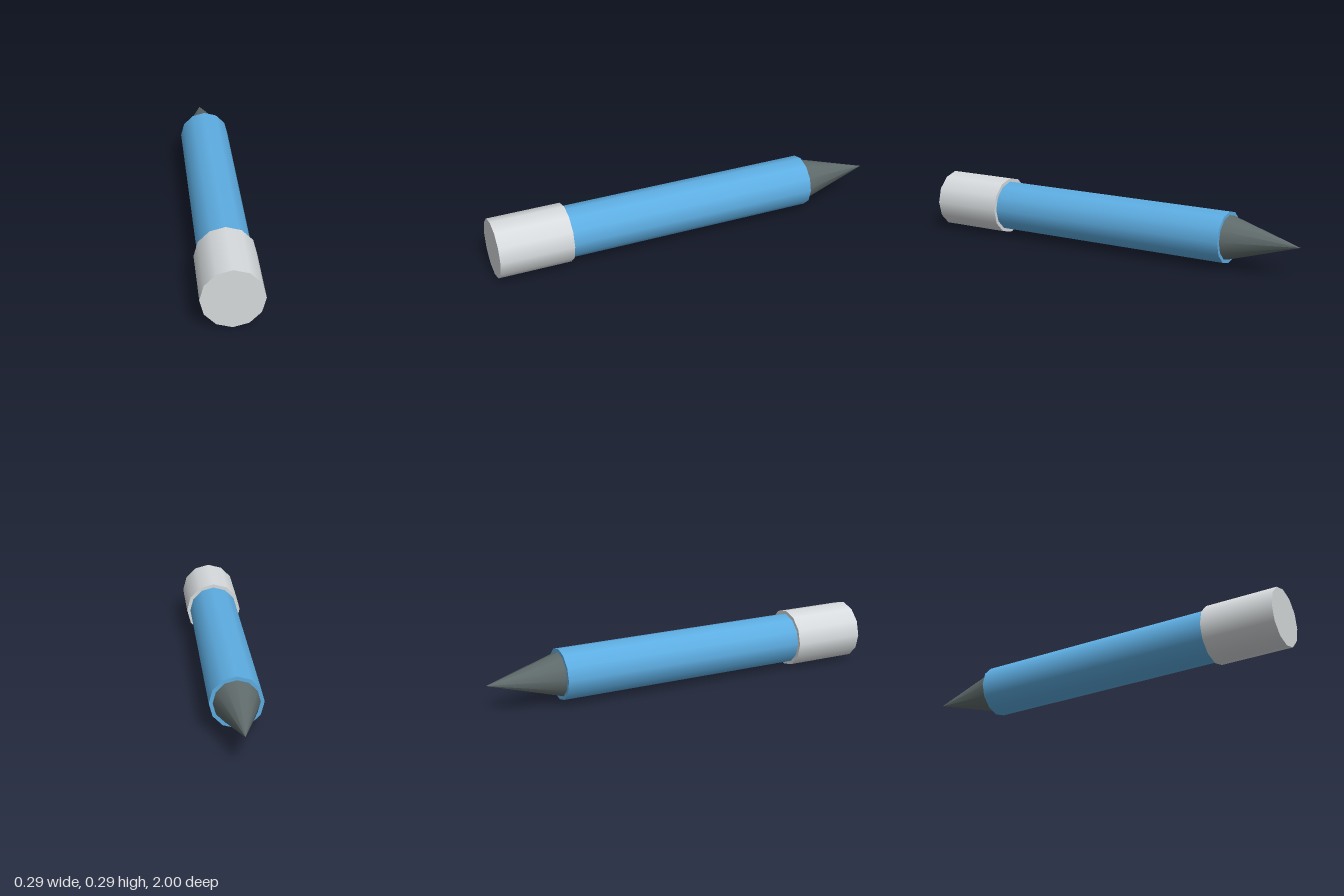
import * as THREE from 'three';

const SIDES = 12;
const AXIS_HEIGHT = 0.145;

function material(name, color) {
  const m = new THREE.MeshStandardMaterial({ color });
  m.name = name;
  return m;
}

// Lays a twelve-sided part along z, its top end pointing to -z
function addPart(group, name, geometry, mat, z) {
  geometry.rotateX(-Math.PI / 2);
  const mesh = new THREE.Mesh(geometry, mat);
  mesh.name = name;
  mesh.position.set(0, AXIS_HEIGHT, z);
  group.add(mesh);
}

export function createModel() {
  const group = new THREE.Group();
  group.name = 'pencil';

  const blue = material('blue', 0x5dade2);
  const lightGrey = material('light grey', 0xd7dbdd);
  const darkGrey = material('dark grey', 0x5f6a6a);

  // Blunt end cap, slightly wider than the barrel
  addPart(group, 'endCap', new THREE.CylinderGeometry(0.145, 0.145, 0.364, SIDES), lightGrey, 0.818);
  // Long barrel
  addPart(group, 'barrel', new THREE.CylinderGeometry(0.127, 0.127, 1.272, SIDES), blue, 0);
  // Pointed tip, slightly narrower than the barrel
  addPart(group, 'tip', new THREE.ConeGeometry(0.109, 0.364, SIDES), darkGrey, -0.818);

  return group;
}
